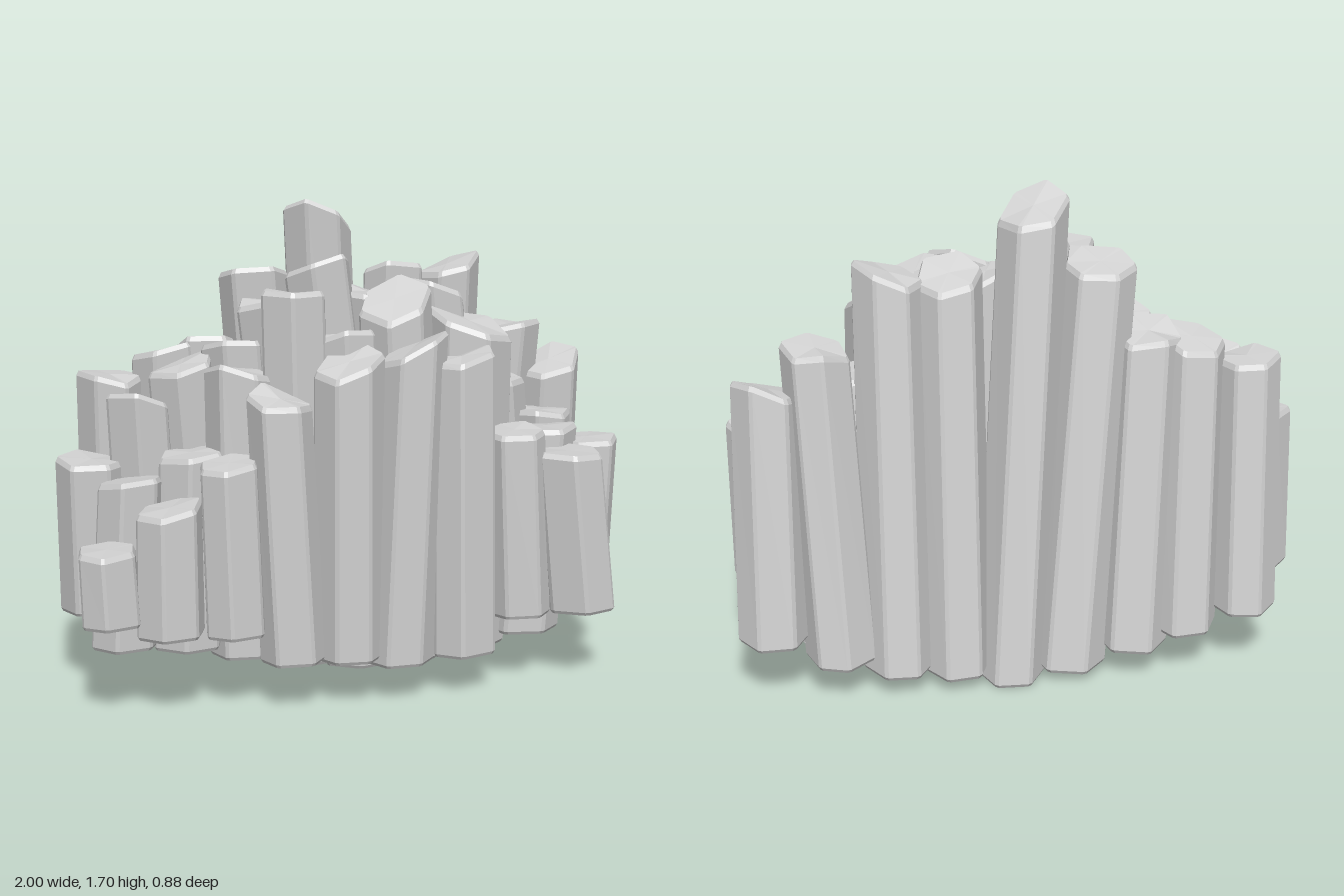
import * as THREE from 'three';

// Small seeded generator for the uneven column outlines
function seeded(seed) {
  return () => {
    seed = (seed * 16807) % 2147483647;
    return seed / 2147483647;
  };
}

// One leaning hexagonal column with chamfered corners, a wider foot and a slanted top
function columnGeometry(top, base, slopeX, slopeZ, width, rand) {
  const radius = (0.118 + rand() * 0.008) * width;
  const turn = (rand() - 0.5) * 0.7;
  const corners = [];
  for (let i = 0; i < 6; i++) {
    const a = turn + (i * Math.PI) / 3 + (rand() - 0.5) * 0.2;
    const r = radius * (0.96 + rand() * 0.08);
    const lift = (rand() - 0.5) * (top.y > 1 ? 0.035 : 0.015);
    corners.push({ x: Math.cos(a) * r, z: Math.sin(a) * r, lift });
  }
  // Replace each corner by two points, leaving a narrow chamfer strip
  const outline = [];
  corners.forEach((c, i) => {
    for (const n of [corners[(i + 5) % 6], corners[(i + 1) % 6]]) {
      const t = 0.07;
      outline.push({ x: c.x + (n.x - c.x) * t, z: c.z + (n.z - c.z) * t, lift: c.lift });
    }
  });

  const topRing = (s, drop) => outline.map((p) => new THREE.Vector3(
    top.x + p.x * s, top.y - drop + p.x * s * slopeX + p.z * s * slopeZ + p.lift, top.z + p.z * s));
  const baseRing = (s, raise) => outline.map((p) => new THREE.Vector3(
    base.x + p.x * s, base.y + raise + p.z * 0.1, base.z + p.z * s));
  const rings = [baseRing(0.98, 0), baseRing(1.04, 0.012), topRing(1, 0.018), topRing(0.92, 0)];

  const points = [];
  const n = outline.length;
  const middle = (ring) => ring.reduce((m, p) => m.add(p), new THREE.Vector3()).divideScalar(n);
  const low = middle(rings[0]);
  const high = middle(rings[3]);
  for (let i = 0; i < n; i++) {
    const j = (i + 1) % n;
    for (let k = 0; k < 3; k++) {
      const a = rings[k], b = rings[k + 1];
      points.push(a[i], b[i], b[j], a[i], b[j], a[j]);
    }
    points.push(high, rings[3][j], rings[3][i], low, rings[0][i], rings[0][j]);
  }
  const geometry = new THREE.BufferGeometry().setFromPoints(points);
  geometry.computeVertexNormals(); // unshared corners give flat faces
  return geometry;
}

export function createModel() {
  const model = new THREE.Group();
  model.name = 'basaltColumns';
  const stone = new THREE.MeshStandardMaterial({ color: 0xd2d2d2 });
  stone.name = 'grey stone';
  const rand = seeded(4711);

  // Each column: top x, top z, top y, base x, base y, top slope in x, top slope in z, width.
  // The lean sets how far a column shifts forward for each unit of its height.
  function addRow(name, lean, columns) {
    const row = new THREE.Group();
    row.name = name;
    columns.forEach(([x, z, y, bx, by, sx, sz, width = 1], i) => {
      const top = new THREE.Vector3(x, y, z);
      const base = new THREE.Vector3(bx, by, z - lean * (y - by));
      const mesh = new THREE.Mesh(columnGeometry(top, base, sx, sz, width, rand), stone);
      mesh.name = `${name}Column${i + 1}`;
      row.add(mesh);
    });
    model.add(row);
  }

  addRow('backRow', 0.085, [
    [-0.78, -0.23, 1.1, -0.77, 0.21, -0.1, 0.1],
    [-0.58, -0.23, 1.19, -0.55, 0.16, 0.2, 0.2],
    [-0.43, -0.23, 1.21, -0.37, 0.11, 0, 0.2],
    [-0.27, -0.2, 1.45, -0.15, 0.05, 0.1, 0.3],
    [-0.04, -0.18, 1.65, 0.06, 0.02, -0.4, 0.4],
    [0.25, -0.2, 1.44, 0.25, 0.06, -0.1, 0.35],
    [0.45, -0.2, 1.45, 0.45, 0.08, 0.35, 0.05],
    [0.7, -0.23, 1.22, 0.65, 0.13, 0.1, 0.2],
    [0.86, -0.22, 1.08, 0.87, 0.21, 0.2, -0.1, 1.04],
  ]);
  addRow('innerBackRow', 0.08, [
    [-0.88, -0.06, 0.85, -0.87, 0.29, -0.1, 0],
    [-0.71, -0.05, 1.04, -0.67, 0.21, -0.2, 0.35],
    [-0.56, -0.04, 1.17, -0.48, 0.14, 0.3, 0.1],
    [-0.37, -0.05, 1.23, -0.28, 0.09, 0, 0.2],
    [-0.25, -0.03, 1.38, -0.08, 0.05, 0.1, 0.1],
    [-0.09, 0, 1.49, 0.12, 0.04, 0.2, 0.4],
    [0.1, -0.03, 1.39, 0.32, 0.07, -0.3, 0],
    [0.34, -0.02, 1.4, 0.52, 0.09, -0.45, 0.2],
    [0.57, -0.06, 1.07, 0.67, 0.14, -0.2, 0.1, 1.08],
    [0.76, -0.04, 0.93, 0.81, 0.25, -0.1, 0.1],
  ]);
  addRow('innerFrontRow', 0.05, [
    [-0.77, 0.11, 0.81, -0.8, 0.21, 0.1, 0.2],
    [-0.56, 0.12, 0.9, -0.58, 0.19, 0.1, 0.1],
    [-0.39, 0.12, 1.17, -0.37, 0.14, -0.2, 0.1],
    [-0.21, 0.15, 1.43, -0.17, 0.1, -0.15, 0.15],
    [-0.04, 0.16, 1.29, 0.03, 0.08, 0.1, 0.25],
    [0.15, 0.14, 1.4, 0.23, 0.08, 0.3, -0.4, 1.08],
    [0.42, 0.13, 1.3, 0.43, 0.1, -0.3, -0.15, 1.2],
    [0.7, 0.12, 0.91, 0.66, 0.14, 0, 0.1, 1.05],
    [0.88, 0.1, 0.85, 0.87, 0.29, 0, 0.1],
  ]);
  addRow('frontRow', 0.03, [
    [-0.88, 0.28, 0.63, -0.87, 0.36, 0, 0, 0.9],
    [-0.67, 0.3, 0.76, -0.67, 0.31, 0.15, 0, 0.96],
    [-0.47, 0.3, 0.9, -0.45, 0.29, 0.05, 0, 0.9],
    [-0.3, 0.32, 1.11, -0.25, 0.18, -0.2, -0.2, 0.95],
    [-0.06, 0.32, 1.22, -0.05, 0.17, 0.35, -0.1],
    [0.16, 0.32, 1.26, 0.13, 0.14, 0.5, 0.2],
    [0.33, 0.32, 1.22, 0.36, 0.15, 0.25, 0.1, 0.95],
    [0.53, 0.3, 0.95, 0.57, 0.27, 0, 0, 0.92],
    [0.73, 0.3, 0.86, 0.8, 0.27, -0.05, 0.05],
  ]);
  return model;
}
